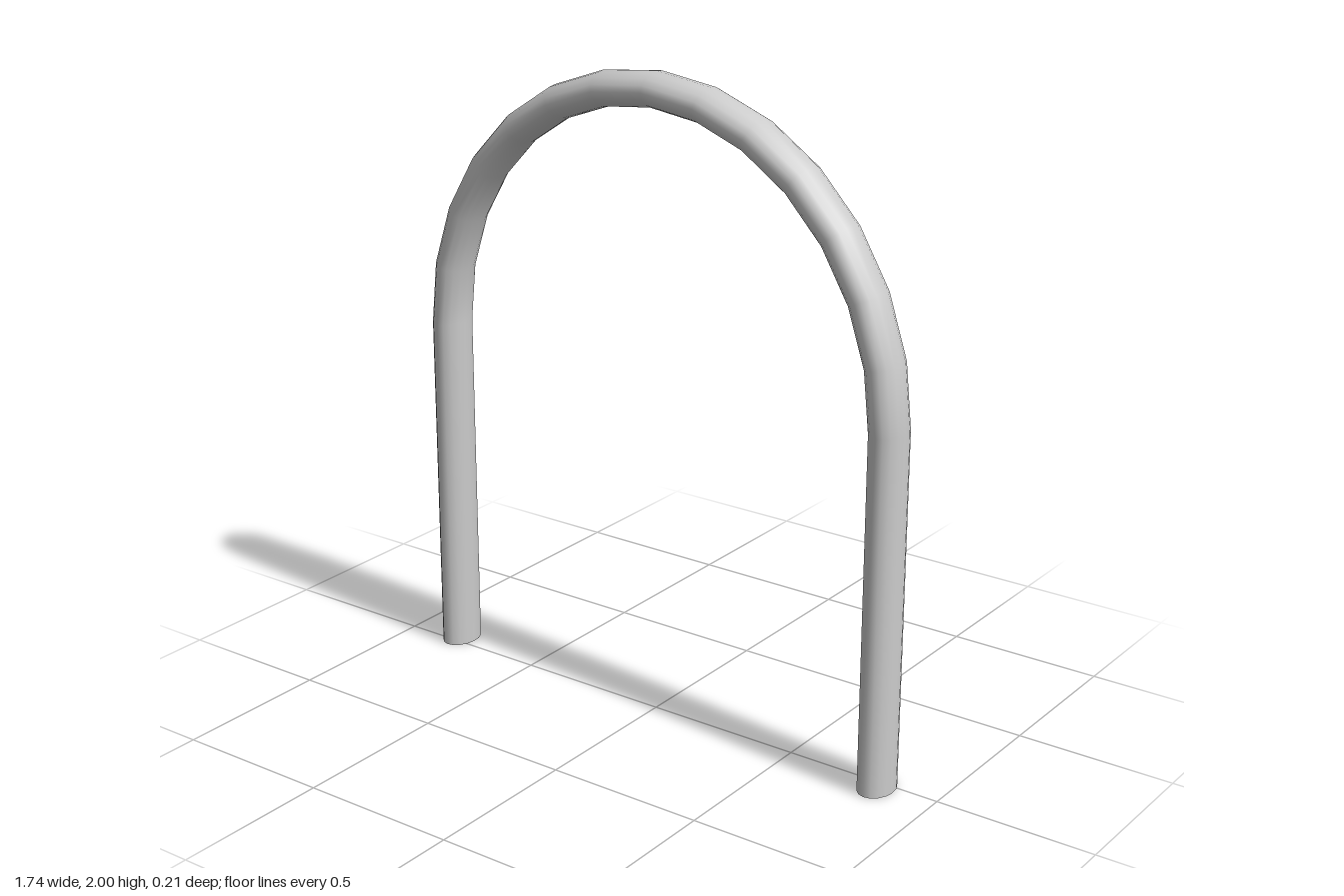
import * as THREE from 'three';

const SIDES = 16, ARCH_STEPS = 14;
const HALF_WIDTH = 0.819, SPRING_Y = 1.1, RISE = 0.847; // centre line of the arch
const RX = 0.053, RZ = 0.071; // oval tube section

// Bent tube: one leg, a half-ellipse arch, the other leg
function hoopGeometry() {
  const rings = [{ angle: 0, base: 0 }];
  for (let i = 0; i <= ARCH_STEPS; i++) rings.push({ angle: Math.PI * i / ARCH_STEPS, base: SPRING_Y });
  rings.push({ angle: Math.PI, base: 0 });

  const positions = [], indices = [];
  for (const { angle, base } of rings) {
    for (let j = 0; j < SIDES; j++) {
      const phi = 2 * Math.PI * j / SIDES;
      const out = RX * Math.cos(phi);
      positions.push(
        (HALF_WIDTH + out) * Math.cos(angle),
        base + (RISE + out) * Math.sin(angle),
        RZ * Math.sin(phi)
      );
    }
  }
  for (let i = 0; i < rings.length - 1; i++) {
    for (let j = 0; j < SIDES; j++) {
      const a = i * SIDES + j, b = i * SIDES + (j + 1) % SIDES;
      indices.push(a, a + SIDES, b, b, a + SIDES, b + SIDES);
    }
  }
  const geometry = new THREE.BufferGeometry();
  geometry.setAttribute('position', new THREE.Float32BufferAttribute(positions, 3));
  geometry.setIndex(indices);
  geometry.computeVertexNormals();
  return geometry;
}

export function createModel() {
  const group = new THREE.Group();
  group.name = 'hoop';
  const material = new THREE.MeshStandardMaterial({ color: 0xcccccc });

  const tube = new THREE.Mesh(hoopGeometry(), material);
  tube.name = 'bentTube';
  group.add(tube);

  // Flat ends closing the feet
  const capGeometry = new THREE.CircleGeometry(1, SIDES).rotateX(Math.PI / 2).scale(RX, 1, RZ);
  for (const side of [1, -1]) {
    const cap = new THREE.Mesh(capGeometry, material);
    cap.name = side > 0 ? 'leftFootCap' : 'rightFootCap';
    cap.position.x = side * HALF_WIDTH;
    group.add(cap);
  }

  // The hoop stands slightly turned
  group.rotation.y = -0.039;
  return group;
}
